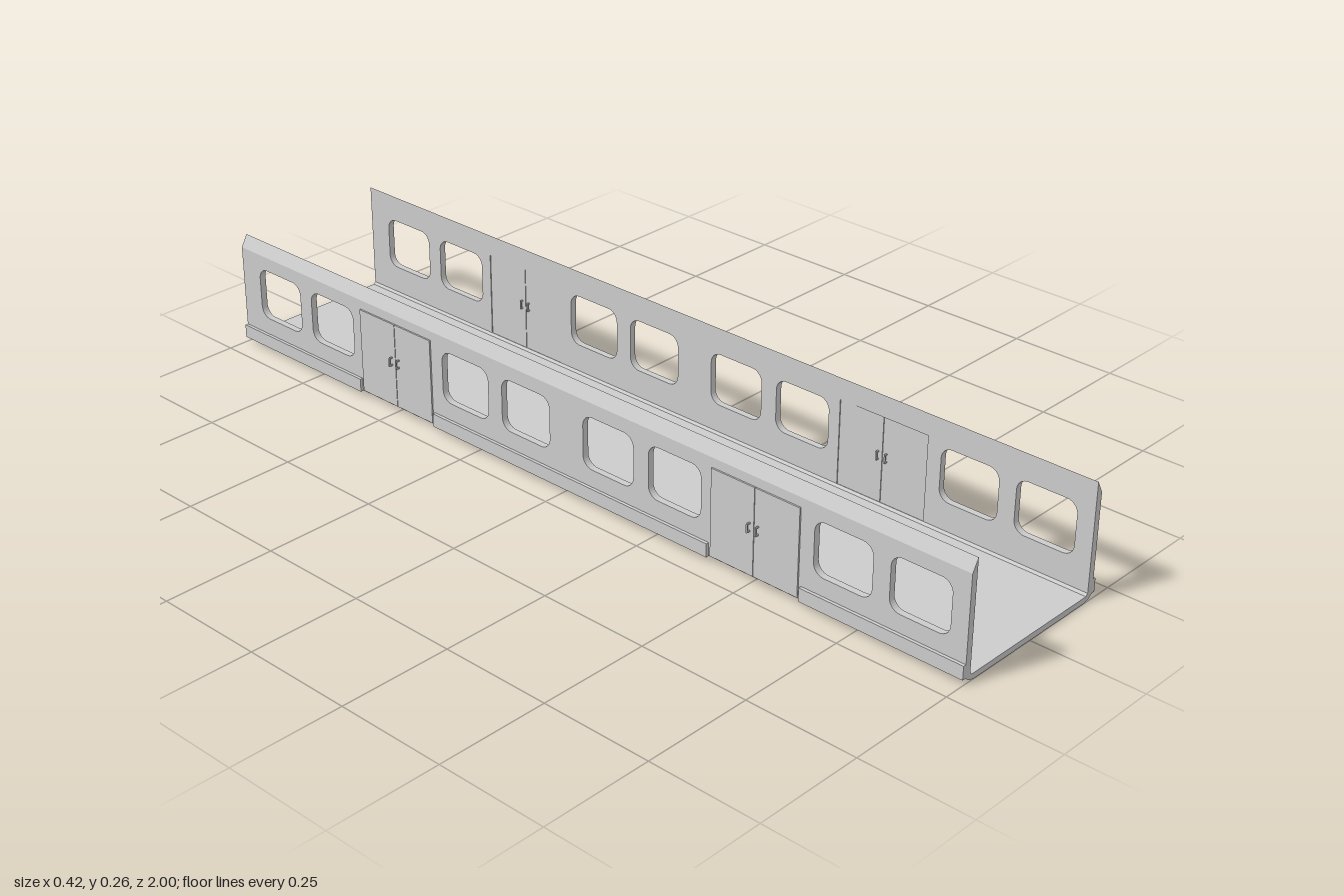
import * as THREE from 'three';

const material = new THREE.MeshStandardMaterial({ color: 0xcccccc, flatShading: true });
const LENGTH = 2, INNER = 0.182, OUTER = 0.197;
const DOORS = [0.505, -0.495];
const WINDOWS = [0.893, 0.716, 0.3, 0.123, -0.107, -0.284, -0.7, -0.874];

function add(parent, name, geometry, x = 0, y = 0, z = 0) {
  const mesh = new THREE.Mesh(geometry, material);
  mesh.name = name;
  mesh.position.set(x, y, z);
  parent.add(mesh);
  return mesh;
}

function box(parent, name, [x0, x1], [y0, y1], [z0, z1]) {
  return add(parent, name, new THREE.BoxGeometry(Math.abs(x1 - x0), y1 - y0, Math.abs(z1 - z0)),
    (x0 + x1) / 2, (y0 + y1) / 2, (z0 + z1) / 2);
}

function rectPath(cx, y0, y1, w, r) {
  const p = new THREE.Path(), a = cx - w / 2, b = cx + w / 2, q = Math.PI / 2;
  p.absarc(b - r, y0 + r, r, -q, 0);
  p.absarc(b - r, y1 - r, r, 0, q);
  p.absarc(a + r, y1 - r, r, q, 2 * q);
  p.absarc(a + r, y0 + r, r, 2 * q, 3 * q);
  p.closePath();
  return p;
}

// Cross-section in x and y, swept along the whole length
function sweep(points) {
  const shape = new THREE.Shape(points.map(([x, y]) => new THREE.Vector2(x, y)));
  return new THREE.ExtrudeGeometry(shape, { depth: LENGTH, bevelEnabled: false }).translate(0, 0, -LENGTH / 2);
}

// Side wall drawn along z, with window and door openings
function wallGeometry() {
  const h = LENGTH / 2;
  const shape = new THREE.Shape([[-h, 0.013], [h, 0.013], [h, 0.23], [-h, 0.23]]
    .map(([z, y]) => new THREE.Vector2(z, y)));
  WINDOWS.forEach((z) => shape.holes.push(rectPath(z, 0.081, 0.198, 0.137, 0.025)));
  DOORS.forEach((z) => shape.holes.push(new THREE.Path(
    [[-0.109, 0.016], [-0.109, 0.209], [0.109, 0.209], [0.109, 0.016]]
      .map(([dz, y]) => new THREE.Vector2(z + dz, y)))));
  return new THREE.ExtrudeGeometry(shape, { depth: OUTER - INNER, bevelEnabled: false, curveSegments: 4 })
    .rotateY(-Math.PI / 2);
}

// Square loop handle standing off a door face, from x0 on the face out to x1
function handle(parent, x0, x1, z) {
  const t = 0.003, s = Math.sign(x1 - x0);
  box(parent, 'handleGrip', [x1 - s * t, x1], [0.111, 0.131], [z - t / 2, z + t / 2]);
  box(parent, 'handleLower', [x0, x1 - s * t], [0.111, 0.111 + t], [z - t / 2, z + t / 2]);
  box(parent, 'handleUpper', [x0, x1 - s * t], [0.131 - t, 0.131], [z - t / 2, z + t / 2]);
}

export function createModel() {
  const model = new THREE.Group();
  model.name = 'openCarriageBody';

  // Floor pan with curved lower edges
  const half = [[0.17, 0], [0.186, 0.004], [OUTER, 0.013], [INNER, 0.018], [0.177, 0.013]];
  const mirrored = half.map(([x, y]) => [-x, y]).reverse();
  add(model, 'floor', sweep([...half, ...mirrored]));

  for (const s of [1, -1]) {
    const side = new THREE.Group();
    side.name = s > 0 ? 'leftSide' : 'rightSide';
    model.add(side);

    add(side, 'wall', wallGeometry(), s > 0 ? OUTER : -INNER);

    // Wall top slopes up to a sharp inner edge
    add(side, 'slopedTop', sweep([[s * INNER, 0.23], [s * OUTER, 0.23], [s * INNER, 0.257]]));

    // Skirt rails between the doorways
    for (const range of [[0.62, 1], [-0.38, 0.39], [-1, -0.61]])
      box(side, 'skirtRail', [s * (OUTER - 0.002), s * 0.204], [0.012, 0.042], range);

    // Double doors with a narrow centre gap
    for (const z of DOORS) {
      const door = new THREE.Group();
      door.name = 'doubleDoor';
      side.add(door);
      for (const d of [1, -1]) {
        box(door, 'doorLeaf', [s * 0.184, s * 0.2005], [0.016, 0.209], [z + d * 0.0007, z + d * 0.109]);
        handle(door, s * 0.2, s * 0.21, z + d * 0.0105);
        handle(door, s * 0.185, s * 0.177, z + d * 0.0105);
      }
    }
  }
  return model;
}
